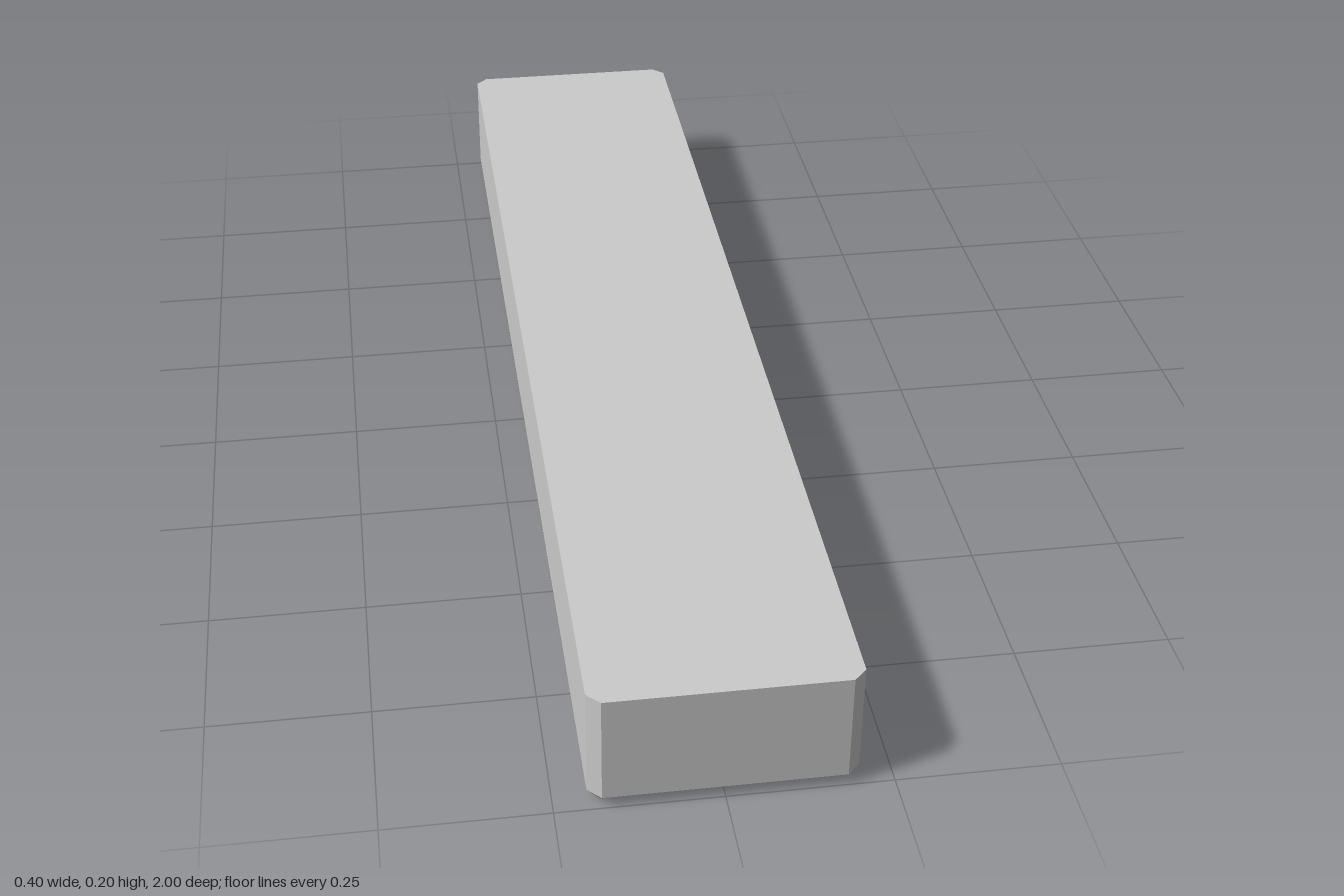
import * as THREE from 'three';

const W = 0.2, L = 1, H = 0.2, C = 0.02;   // half width, half length, height, chamfer
const COLS = 2, ROWS = 6;                  // grid of recesses underneath
const DEPTH = 0.06, INSET = 0.03;          // recess depth and wall taper

const material = new THREE.MeshStandardMaterial({ color: 0xcccccc, flatShading: true });

// Flat-shaded mesh from convex polygons (corners counter-clockwise from outside)
function polygonMesh(name, polygons) {
  const points = [];
  for (const p of polygons) {
    for (let i = 1; i < p.length - 1; i++) {
      const tri = new THREE.Triangle(p[0], p[i], p[i + 1]);
      if (tri.getArea() > 1e-9) points.push(tri.a, tri.b, tri.c);
    }
  }
  const geometry = new THREE.BufferGeometry().setFromPoints(points);
  geometry.computeVertexNormals();
  const mesh = new THREE.Mesh(geometry, material);
  mesh.name = name;
  return mesh;
}

const ring = (outline, y) => outline.map(([x, z]) => new THREE.Vector3(x, y, z));

// Quads joining a lower ring to an upper ring, facing outward
const band = (low, high) => low.map((p, i) => {
  const j = (i + 1) % low.length;
  return [p, low[j], high[j], high[i]];
});

// Rectangle corners around a centre
const rect = (cx, cz, hx, hz) =>
  [[cx - hx, cz + hz], [cx + hx, cz + hz], [cx + hx, cz - hz], [cx - hx, cz - hz]];

export function createModel() {
  const group = new THREE.Group();
  group.name = 'block';
  const w = W - C, l = L - C;

  // Body shell: chamfered upright corners and lower edges, sharp upper edge
  const outline = [[-w, L], [w, L], [W, l], [W, -l], [w, -L], [-w, -L], [-W, -l], [-W, l]];
  const foot = outline.map(([x, z]) => [Math.sign(x) * w, Math.sign(z) * l]);
  const top = ring(outline, H), mid = ring(outline, C), base = ring(foot, 0);
  group.add(polygonMesh('body', [top, ...band(mid, top), ...band(base, mid)]));

  // Tapered recesses meeting in sharp ribs
  const hx = w / COLS, hz = l / ROWS;
  const recesses = new THREE.Group();
  recesses.name = 'undersideRecesses';
  for (let i = 0; i < COLS; i++) {
    for (let j = 0; j < ROWS; j++) {
      const cx = -w + hx * (2 * i + 1), cz = -l + hz * (2 * j + 1);
      const rim = ring(rect(cx, cz, hx, hz), 0).reverse();
      const floor = ring(rect(cx, cz, hx - INSET, hz - INSET), DEPTH).reverse();
      recesses.add(polygonMesh('recess', [floor, ...band(rim, floor)]));
    }
  }
  group.add(recesses);
  return group;
}
